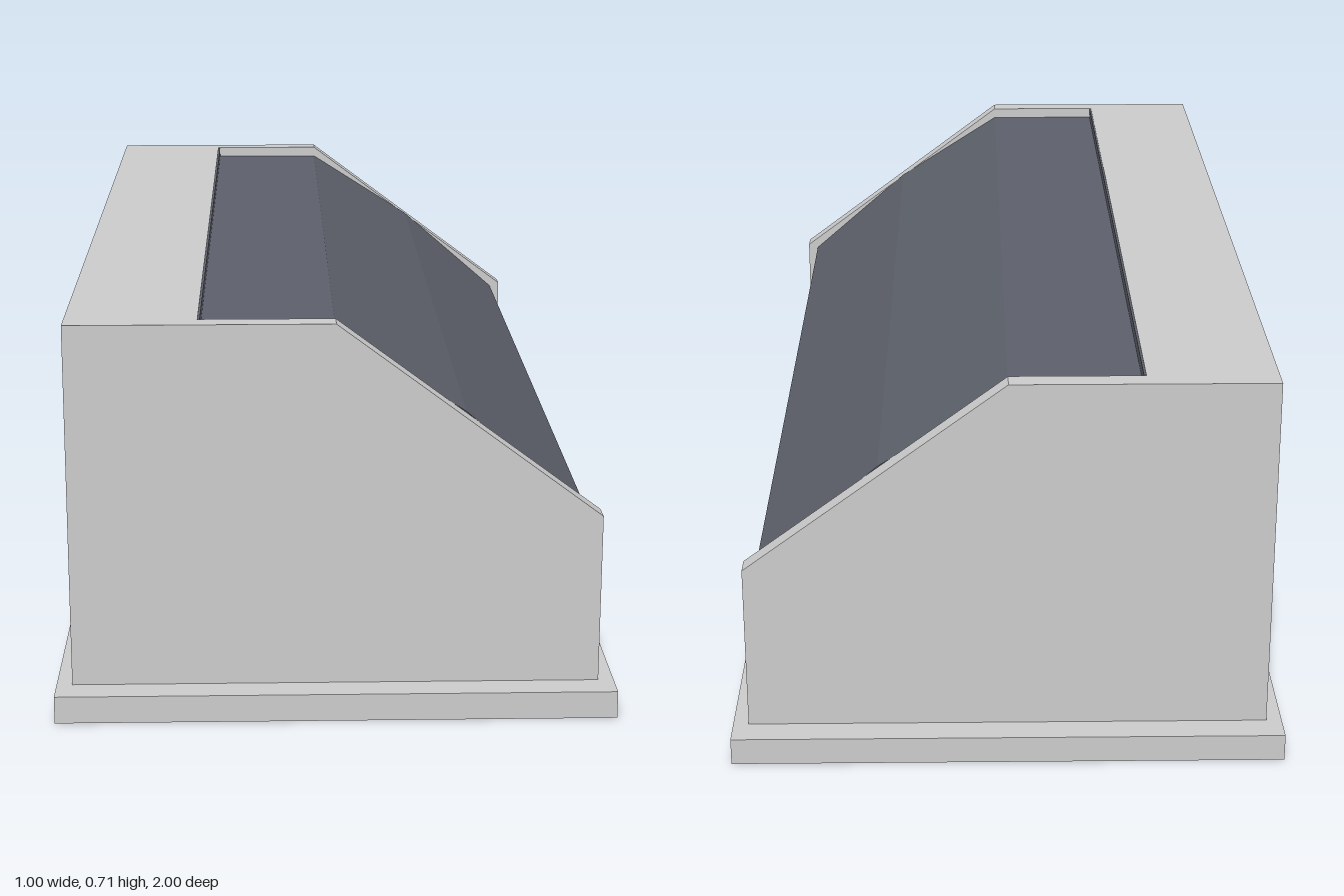
import * as THREE from 'three';

const grey = new THREE.MeshStandardMaterial({ color: 0xcccccc });
const dark = new THREE.MeshStandardMaterial({ color: 0x5c606a });

// Extrudes an x-y profile from z0 to z1
function prism(name, points, z0, z1, material) {
  const shape = new THREE.Shape(points.map(([x, y]) => new THREE.Vector2(x, y)));
  const geometry = new THREE.ExtrudeGeometry(shape, { depth: z1 - z0, bevelEnabled: false });
  geometry.translate(0, 0, z0);
  const mesh = new THREE.Mesh(geometry, material);
  mesh.name = name;
  return mesh;
}

export function createModel() {
  const group = new THREE.Group();
  group.name = 'displayCounter';

  const W = 0.472, TOP = 0.712, BASE = 0.05; // half width, top height, plinth height
  const END = 0.945, INNER = 0.905;          // outer and inner faces of the end panels
  const SILL = 0.24, BACK = -0.24;           // limits of the window opening

  // Plinth
  const plinth = new THREE.Mesh(new THREE.BoxGeometry(1, BASE, 2), grey);
  plinth.name = 'plinth';
  plinth.position.y = BASE / 2;
  group.add(plinth);

  // End panels with the sloped corner
  const side = [[-W, BASE], [W, BASE], [W, 0.36], [0, TOP], [-W, TOP]];
  group.add(prism('frontEndPanel', side, INNER, END, grey));
  group.add(prism('backEndPanel', side, -END, -INNER, grey));

  // Cabinet body: low wall under the window and tall block behind it
  group.add(prism('cabinetBody', [
    [-W, BASE], [W, BASE], [W, SILL], [BACK, SILL], [BACK, TOP], [-W, TOP],
  ], -INNER, INNER, grey));

  // Recessed window, slightly bowed along the slope, with a thin lip at the back
  group.add(prism('window', [
    [BACK, SILL], [0.45, SILL], [0.45, 0.352], [0.23, 0.543], [0, 0.69],
    [BACK + 0.004, 0.69], [BACK + 0.004, TOP - 0.001], [BACK, TOP - 0.001],
  ], -INNER, INNER, dark));

  return group;
}
